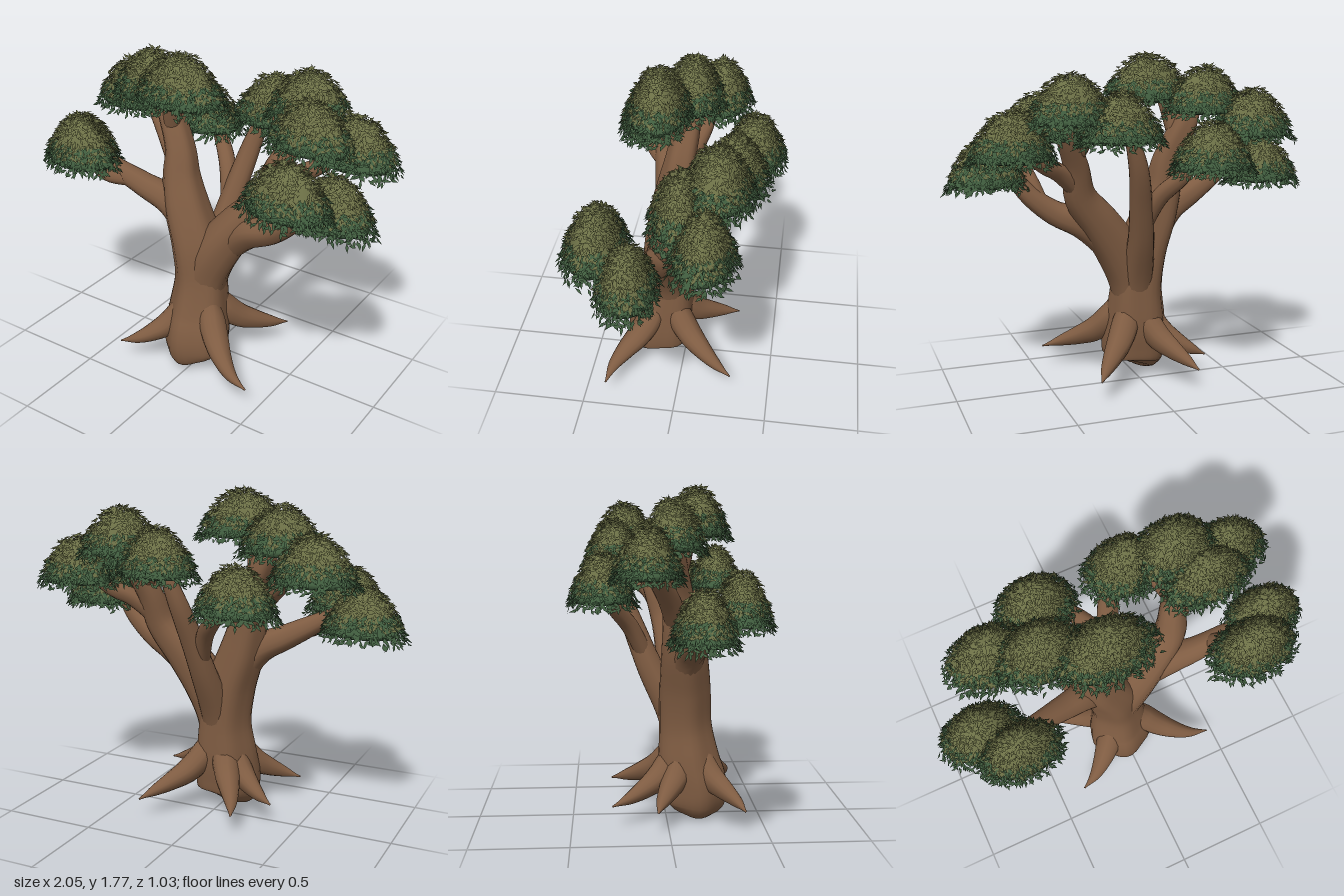
import * as THREE from 'three';
import { mergeVertices } from 'three/addons/utils/BufferGeometryUtils.js';

const mat = (name, color) => {
  const m = new THREE.MeshStandardMaterial({ color });
  m.name = name;
  return m;
};

// Tapered limb swept through [x, y, z, radius] stations, with shallow bark lobes.
function limb(stations, ref, lobe, sides = 20) {
  const curve = new THREE.CatmullRomCurve3(stations.map(s => new THREE.Vector3(s[0], s[1], s[2])));
  const radii = new THREE.SplineCurve(stations.map(s => new THREE.Vector2(s[3], 0)));
  let geo = new THREE.CylinderGeometry(1, 1, 1, sides, (stations.length - 1) * 5, true);
  const pos = geo.attributes.position, X = new THREE.Vector3(), Z = new THREE.Vector3();
  for (let i = 0; i < pos.count; i++) {
    const t = THREE.MathUtils.clamp(pos.getY(i) + 0.5, 0, 1);
    const lx = pos.getX(i), lz = pos.getZ(i), a = Math.atan2(lx, lz);
    const c = curve.getPoint(t), T = curve.getTangent(t);
    const r = Math.max(0.003, radii.getPoint(t).x) * (1 + lobe * Math.cos(5 * a + 0.6));
    Z.copy(ref).addScaledVector(T, -ref.dot(T)).normalize();
    X.crossVectors(T, Z);
    c.addScaledVector(X, lx * r).addScaledVector(Z, lz * r);
    pos.setXYZ(i, c.x, c.y, c.z);
  }
  geo.deleteAttribute('uv');
  geo.deleteAttribute('normal');
  geo = mergeVertices(geo, 1e-5);
  geo.computeVertexNormals();
  return geo;
}

// Umbrella profile of a foliage clump: height at relative radius u, and its slope.
const domeY = u => 1 - 1.3 * u ** 2.3;
const domeSlope = u => -1.3 * 2.3 * u ** 1.3;

// Small pointed leaves scattered in a loose layer over the umbrella.
function leaves(count, from, to, rx, h, rz, rand) {
  const P = [], N = [], v = (...a) => new THREE.Vector3(...a);
  for (let i = 0; i < count; i++) {
    const u = Math.sqrt(THREE.MathUtils.lerp(from * from, to * to, rand()));
    const th = rand() * Math.PI * 2, k = 0.86 + rand() * 0.18;
    const c = Math.cos(th), s = Math.sin(th), g = -domeSlope(u) * h;
    const p = v(rx * u * c, h * domeY(u), rz * u * s).multiplyScalar(k);
    const n = v(g * c / rx, 1, g * s / rz).normalize();
    const down = v(c, -0.6, s).projectOnPlane(n).normalize().applyAxisAngle(n, (rand() - 0.5) * 2.4);
    const side = v().crossVectors(n, down);
    const L = 0.015 + rand() * 0.009, w = 0.0075;
    const tip = p.clone().addScaledVector(down, L).addScaledVector(n, rand() * 0.022);
    const base = p.clone().addScaledVector(down, -L);
    const a = p.clone().addScaledVector(side, w), b = p.clone().addScaledVector(side, -w);
    for (const q of [tip, a, base, base, b, tip]) {
      P.push(q.x, q.y, q.z);
      N.push(n.x, n.y, n.z);
    }
  }
  const geo = new THREE.BufferGeometry();
  geo.setAttribute('position', new THREE.Float32BufferAttribute(P, 3));
  geo.setAttribute('normal', new THREE.Float32BufferAttribute(N, 3));
  return geo;
}

export function createModel() {
  const tree = new THREE.Group();
  tree.name = 'tree';
  const bark = mat('bark brown', 0x7f5c42);
  const olive = mat('sunlit olive leaf', 0x6c7046);
  const green = mat('shaded green leaf', 0x425f40);
  olive.side = green.side = THREE.DoubleSide;
  let seed = 11;
  const rand = () => (seed = (seed * 16807) % 2147483647) / 2147483647;
  const add = (parent, name, geo, m) => {
    const mesh = new THREE.Mesh(geo, m);
    mesh.name = name;
    parent.add(mesh);
  };

  // Trunk with a tilted foot, and limbs
  const zAxis = new THREE.Vector3(0, 0, 1), yAxis = new THREE.Vector3(0, 1, 0);
  const limbs = {
    trunk: [[-0.005, 0.045, 0.14, 0.01], [-0.01, 0.055, 0.143, 0.12], [-0.018, 0.095, 0.15, 0.165],
      [-0.018, 0.18, 0.145, 0.175], [-0.02, 0.3, 0.12, 0.165], [-0.02, 0.5, 0.1, 0.14],
      [-0.05, 0.7, 0.095, 0.135], [-0.12, 0.9, 0.085, 0.12], [-0.16, 1.05, 0.07, 0.1],
      [-0.18, 1.2, 0.05, 0.08], [-0.27, 1.4, 0.02, 0.064], [-0.34, 1.55, 0.02, 0.03]],
    leftLimb: [[-0.01, 0.15, 0.12, 0.07], [-0.005, 0.4, 0.1, 0.11], [0.025, 0.57, 0.095, 0.122],
      [0.09, 0.71, 0.085, 0.122], [0.2, 0.87, 0.06, 0.108], [0.32, 1.03, 0.02, 0.085],
      [0.36, 1.2, -0.04, 0.066], [0.44, 1.38, -0.12, 0.047], [0.48, 1.5, -0.15, 0.02]],
    backLimb: [[0, 0.3, 0.08, 0.07], [0, 0.55, 0.04, 0.085], [0.02, 0.8, -0.08, 0.07],
      [0.05, 1, -0.16, 0.06], [0.09, 1.2, -0.235, 0.05], [0.16, 1.42, -0.28, 0.03]],
    lowRightBranch: [[-0.08, 0.72, 0.08, 0.08], [-0.2, 0.91, 0.11, 0.08], [-0.35, 0.99, 0.15, 0.066],
      [-0.5, 1.07, 0.19, 0.05], [-0.66, 1.17, 0.22, 0.025]],
    lowRightTwig: [[-0.4, 1.01, 0.16, 0.04], [-0.52, 1.05, 0.26, 0.035], [-0.62, 1.16, 0.31, 0.02]],
    highRightBranch: [[-0.17, 1.04, 0.05, 0.055], [-0.28, 1.2, 0, 0.055], [-0.4, 1.31, -0.06, 0.045],
      [-0.56, 1.44, -0.1, 0.02]],
    crownTwig: [[-0.23, 1.3, 0.04, 0.05], [-0.2, 1.44, 0.08, 0.045], [-0.13, 1.6, 0.13, 0.02]],
    rearTwig: [[0.03, 0.83, -0.09, 0.04], [-0.04, 1.04, -0.19, 0.045], [-0.13, 1.15, -0.27, 0.04],
      [-0.24, 1.3, -0.32, 0.02]],
    lowLeftBranch: [[0.12, 0.7, 0.08, 0.07], [0.27, 0.86, 0.1, 0.083], [0.43, 0.93, 0.13, 0.065],
      [0.56, 1.03, 0.15, 0.052], [0.65, 1.14, 0.17, 0.04], [0.76, 1.25, 0.17, 0.02]],
    lowLeftTwig: [[0.5, 0.97, 0.14, 0.045], [0.54, 1.1, 0.2, 0.04], [0.6, 1.28, 0.3, 0.02]],
    outerLeftBranch: [[0.33, 1.06, 0, 0.05], [0.45, 1.17, -0.06, 0.047], [0.56, 1.23, -0.12, 0.04],
      [0.72, 1.36, -0.18, 0.02]],
    innerLeftTwig: [[0.37, 1.25, -0.06, 0.045], [0.31, 1.37, -0.12, 0.035], [0.25, 1.47, -0.2, 0.018]],
  };
  for (const [name, stations] of Object.entries(limbs)) {
    add(tree, name, limb(stations, zAxis, name === 'trunk' ? 0.05 : 0.035, name === 'trunk' ? 30 : 18), bark);
  }

  // Roots running off the trunk and flaring out to points
  const roots = new THREE.Group();
  roots.name = 'roots';
  tree.add(roots);
  const tips = [[-0.36, 0.39, -0.04], [0.45, 0.38, 0.05], [0.31, -0.29, 0.02], [-0.23, -0.29, -0.03], [-0.36, -0.06, 0.03]];
  for (const [x, z, bend] of tips) {
    const at = (f, y, r, b) => [x * f - z * b, y, 0.12 + (z - 0.12) * f + x * b, r];
    add(roots, 'root', limb([at(0.12, 0.48, 0.03, 0), at(0.22, 0.33, 0.07, 0), at(0.4, 0.24, 0.068, bend / 2),
      at(0.6, 0.19, 0.052, bend), at(0.81, 0.15, 0.03, bend), at(1, 0.12, 0.004, 0)], yAxis, 0.04, 16), bark);
  }

  // Foliage umbrellas: [x, peak height, z, x radius, z radius]
  const clumps = [
    [-0.77, 1.29, 0.13, 0.22, 0.16], [-0.63, 1.36, 0.31, 0.22, 0.15], [-0.59, 1.57, -0.12, 0.23, 0.17],
    [-0.37, 1.69, 0.01, 0.23, 0.17], [-0.27, 1.43, -0.33, 0.22, 0.17], [-0.1, 1.75, 0.15, 0.26, 0.17],
    [0.19, 1.58, -0.27, 0.22, 0.17], [0.43, 1.67, -0.21, 0.23, 0.18], [0.53, 1.58, -0.05, 0.24, 0.15],
    [0.72, 1.5, -0.18, 0.22, 0.16], [0.78, 1.33, 0.16, 0.21, 0.15], [0.62, 1.42, 0.33, 0.24, 0.16]];
  const h = 0.19, split = 0.83;
  const ring = u => new THREE.Vector2(u, domeY(u));
  for (const [x, peak, z, rx, rz] of clumps) {
    const clump = new THREE.Group();
    clump.name = 'foliageClump';
    clump.position.set(x, peak - h, z);
    tree.add(clump);
    // Solid core with a gently rounded underside
    const top = new THREE.LatheGeometry([split, 0.65, 0.5, 0.35, 0.18, 0].map(ring), 20);
    const skirt = new THREE.LatheGeometry([new THREE.Vector2(0, -0.38), new THREE.Vector2(0.6, -0.36),
      ...[1, 0.95, 0.89, split].map(ring)], 20);
    for (const g of [top, skirt]) g.scale(rx * 0.86, h * 0.88, rz * 0.86);
    add(clump, 'innerCrown', top, olive);
    add(clump, 'innerSkirt', skirt, green);
    add(clump, 'crownLeaves', leaves(800, 0, split + 0.07, rx, h, rz, rand), olive);
    add(clump, 'skirtLeaves', leaves(680, split - 0.08, 1.04, rx, h, rz, rand), green);
  }
  return tree;
}
